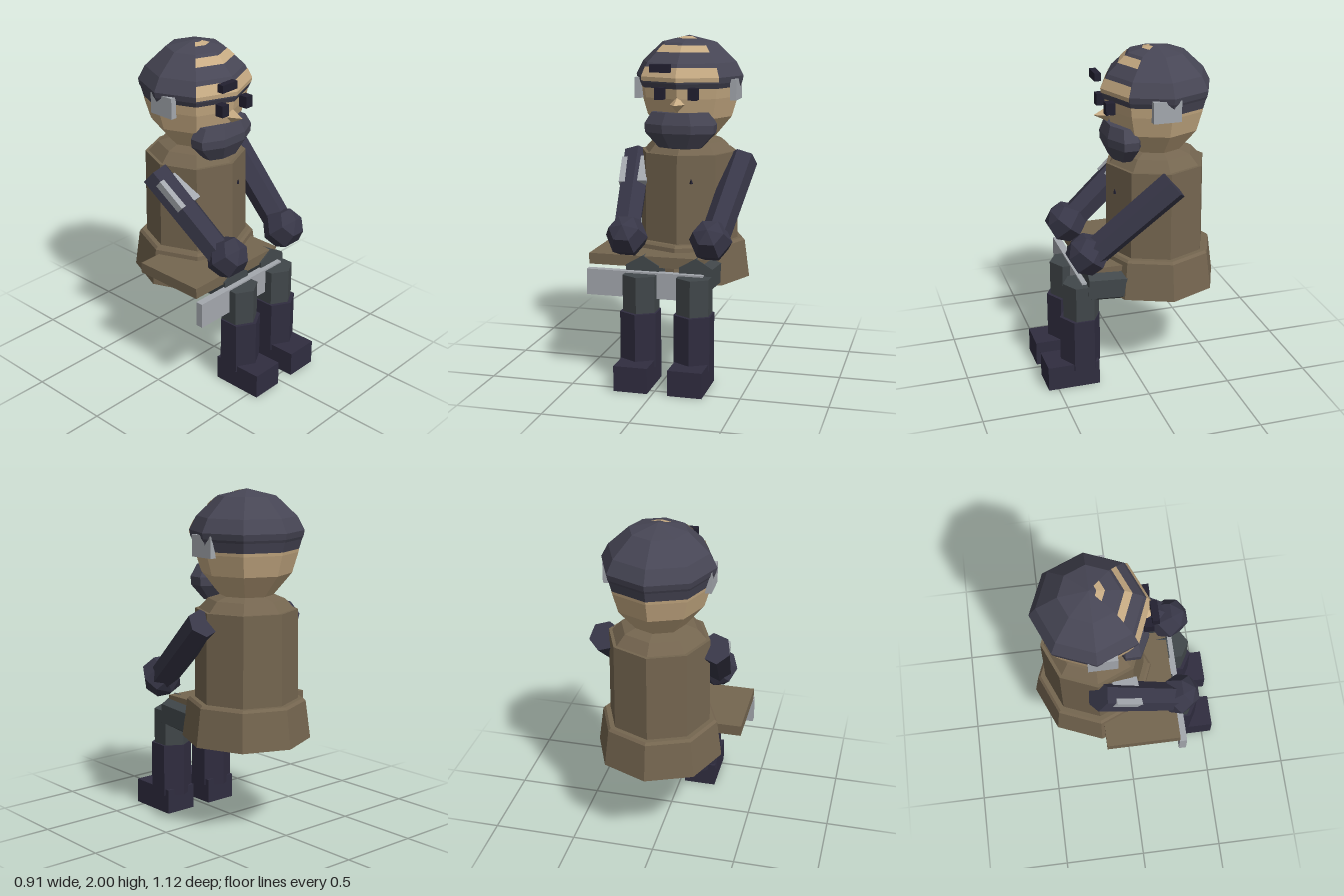
import * as THREE from 'three';

const CX = 0.03, CZ = -0.18; // body axis
const mat = (color) => new THREE.MeshStandardMaterial({ color, flatShading: true, side: THREE.DoubleSide });
const SKIN = mat(0xc8ac84), ROBE = mat(0x756650), HAIR = mat(0x474655), SLEEVE = mat(0x383748);
const BOOT = mat(0x302d40), TROUSER = mat(0x41474a), METAL = mat(0xa4a8ae), DARK = mat(0x222030);

export function createModel() {
  const model = new THREE.Group();
  model.name = 'seatedFigure';

  const add = (name, geometry, material, x = 0, y = 0, z = 0) => {
    const mesh = new THREE.Mesh(geometry, material);
    mesh.name = name;
    mesh.position.set(x, y, z);
    model.add(mesh);
    return mesh;
  };
  // Box given by its extents
  const box = (name, material, [x0, x1], [y0, y1], [z0, z1]) =>
    add(name, new THREE.BoxGeometry(x1 - x0, y1 - y0, z1 - z0), material,
      (x0 + x1) / 2, (y0 + y1) / 2, (z0 + z1) / 2);
  // Eight-sided turned part about the body axis, or a sector of it
  const turned = (name, material, profile, segments = 8, start = 0, sweep = Math.PI * 2) =>
    add(name, new THREE.LatheGeometry(profile.map(([r, y]) => new THREE.Vector2(r, y)), segments, start, sweep),
      material, CX, 0, CZ);
  // Six-sided limb between two points
  const limb = (name, material, a, b, r0, r1) => {
    const from = new THREE.Vector3(...a), to = new THREE.Vector3(...b);
    const dir = to.clone().sub(from);
    const mid = from.clone().lerp(to, 0.5);
    const mesh = add(name, new THREE.CylinderGeometry(r1, r0, dir.length(), 6), material, mid.x, mid.y, mid.z);
    mesh.quaternion.setFromUnitVectors(new THREE.Vector3(0, 1, 0), dir.normalize());
    return mesh;
  };

  // Robe: hem, body and collar
  turned('robeHem', ROBE, [[0, 0.54], [0.38, 0.54], [0.35, 0.765], [0.335, 0.78], [0, 0.78]]);
  turned('robeBody', ROBE, [[0.305, 0.77], [0.3, 1.31], [0.28, 1.31], [0.225, 1.37], [0.13, 1.4], [0, 1.4]]);
  const clasp = add('clasp', new THREE.ConeGeometry(0.012, 0.03, 4), DARK, 0.11, 1.16, 0.093);
  clasp.rotation.x = 0.2;

  // Head and hair
  turned('head', SKIN, [[0, 1.37], [0.15, 1.385], [0.262, 1.52], [0.298, 1.64], [0.312, 1.72], [0.31, 1.77],
    [0.27, 1.84], [0.14, 1.94], [0, 1.98]]);
  turned('hairCap', HAIR, [[0.31, 1.7], [0.325, 1.73], [0.332, 1.765], [0.29, 1.845], [0.168, 1.96], [0, 2]]);
  turned('backHair', HAIR, [[0.24, 1.575], [0.28, 1.585], [0.332, 1.765]], 4, Math.PI / 2, Math.PI);

  // Bare strips on the forehead and crown
  const q = Math.PI / 4;
  turned('foreheadStrip', SKIN, [[0.33, 1.74], [0.333, 1.765], [0.306, 1.822]], 2, -q, 2 * q);
  turned('crownStrip', SKIN, [[0.23, 1.906], [0.187, 1.946]], 2, -q, 2 * q);
  turned('topSpot', SKIN, [[0.085, 1.982], [0.04, 1.993]], 2, -q, 2 * q);

  // Beard
  const beard = add('beard', new THREE.LatheGeometry(
    [[0, -0.115], [0.6, -0.1], [0.98, -0.01], [1, 0.04], [0.8, 0.11], [0, 0.11]]
      .map(([r, y]) => new THREE.Vector2(r, y)), 8, Math.PI / 8), HAIR, CX, 1.45, 0.03);
  beard.scale.set(0.228, 1, 0.115);

  // Face
  const nose = add('nose', new THREE.ConeGeometry(0.045, 0.085, 4), SKIN, CX, 1.61, 0.152);
  nose.rotation.x = Math.PI / 2;
  for (const s of [-1, 1]) {
    const ex = CX + s * 0.1, hx = CX + s * 0.293;
    box('eye', DARK, [ex - 0.027, ex + 0.027], [1.64, 1.71], [0.1, 0.155]);
    box('earPiece', METAL, [hx - 0.019, hx + 0.019], [1.625, 1.75], [-0.23, -0.065]);
  }
  box('eyebrow', DARK, [-0.12, 0], [1.798, 1.845], [0.138, 0.177]);

  // Arms and hands
  for (const s of [-1, 1]) {
    const side = s > 0 ? 'left' : 'right';
    limb(side + 'Sleeve', SLEEVE, [CX + s * 0.33, 1.26, -0.185], [CX + s * 0.265, 0.87, 0.27], 0.092, 0.085);
    const hand = add(side + 'Hand', new THREE.SphereGeometry(0.127, 6, 4), SLEEVE, CX + s * 0.25, 0.86, 0.31);
    hand.rotation.x = 0.85;
  }
  // Plate clasped around the right sleeve
  const plate = add('sleevePlate', new THREE.BoxGeometry(0.17, 0.2, 0.08), METAL, -0.272, 1.175, -0.04);
  plate.rotation.set(-0.86, 0, 0.12);

  // Legs and boots
  for (const s of [-1, 1]) {
    const side = s > 0 ? 'left' : 'right', x = CX + s * 0.16;
    limb(side + 'Thigh', TROUSER, [x, 0.6, -0.16], [x, 0.63, 0.305], 0.115, 0.115);
    add(side + 'Shin', new THREE.CylinderGeometry(0.11, 0.11, 0.22, 6), TROUSER, x, 0.535, 0.327);
    add(side + 'Boot', new THREE.CylinderGeometry(0.123, 0.123, 0.32, 6), BOOT, x, 0.27, 0.337);
    box(side + 'Foot', BOOT, [x - 0.1, x + 0.1], [0, 0.15], [0.245, 0.56]);
  }

  // Bench seat and front board
  box('benchSeat', ROBE, [-0.46, 0.24], [0.675, 0.74], [-0.16, 0.29]);
  box('benchBoard', METAL, [-0.46, 0.24], [0.5, 0.655], [0.29, 0.335]);

  return model;
}
